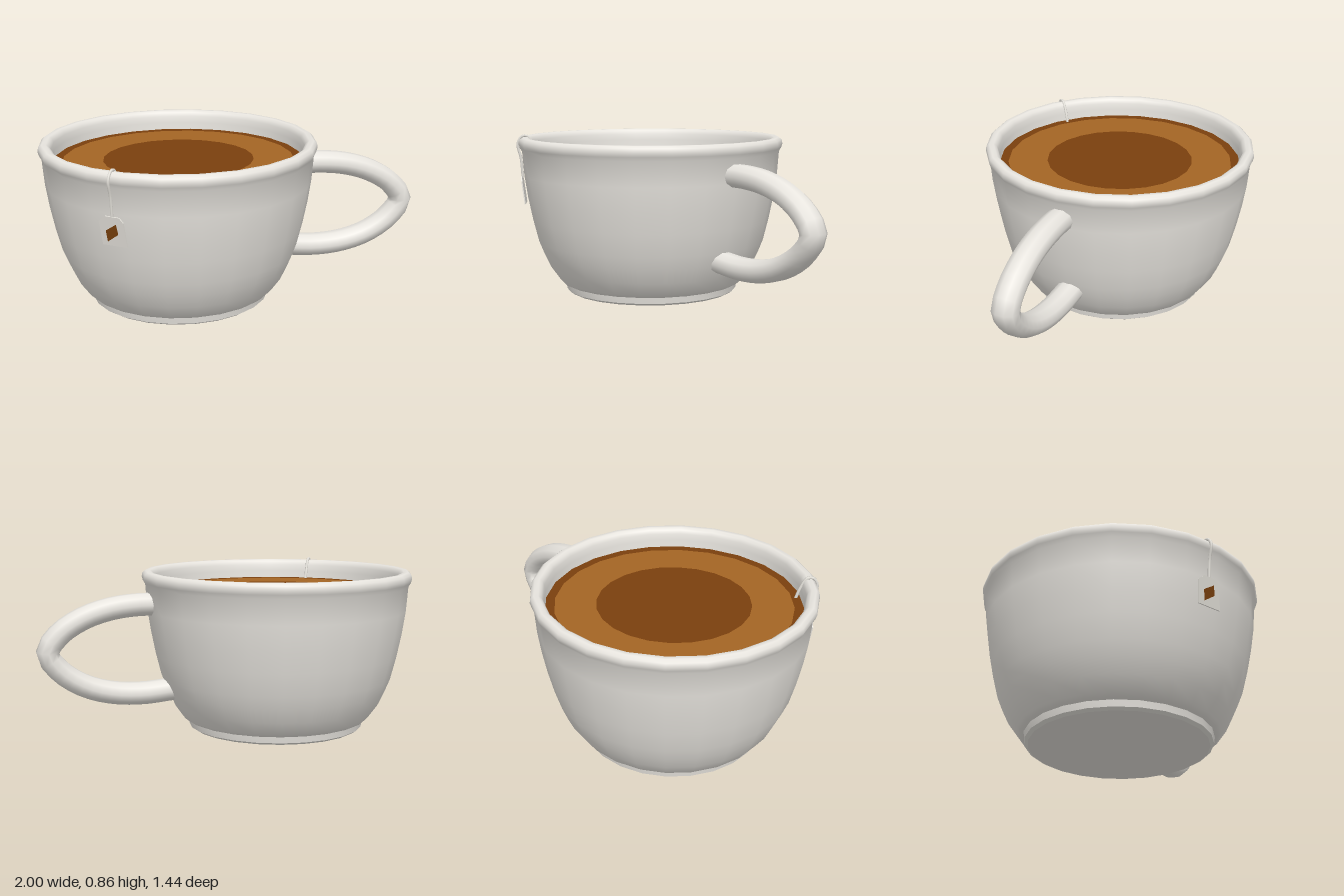
import * as THREE from 'three';
import { toCreasedNormals } from 'three/addons/utils/BufferGeometryUtils.js';

const SIDES = 24;
const CUP_X = -0.285;

function material(name, color, side = THREE.FrontSide) {
  const m = new THREE.MeshStandardMaterial({ color, side });
  m.name = name;
  return m;
}

function addMesh(parent, name, geometry, mat) {
  const mesh = new THREE.Mesh(geometry, mat);
  mesh.name = name;
  parent.add(mesh);
  return mesh;
}

const vectors = (list) => list.map((p) => new THREE.Vector3(...p));
const outline = (list) => new THREE.Shape(list.map((p) => new THREE.Vector2(...p)));

export function createModel() {
  const model = new THREE.Group();
  model.name = 'teacup';
  const porcelain = material('porcelain', 0xe9e6e0);
  const paper = material('paper', 0xe4e1da, THREE.DoubleSide);
  const darkTea = material('dark tea', 0x7a400d);
  const lightTea = material('light tea', 0xa46524);

  const cup = new THREE.Group();
  cup.name = 'cup';
  cup.position.x = CUP_X;
  model.add(cup);

  // Bowl: foot, outer wall, rounded rim, then the inner wall down below the tea
  const profile = [
    [0.45, 0], [0.468, 0.012], [0.473, 0.045], [0.49, 0.052], [0.505, 0.065],
    [0.555, 0.135], [0.59, 0.21], [0.618, 0.28], [0.648, 0.4], [0.672, 0.52],
    [0.69, 0.64], [0.7, 0.77], [0.712, 0.79], [0.718, 0.81], [0.714, 0.832],
    [0.698, 0.845], [0.675, 0.845], [0.66, 0.835], [0.652, 0.815], [0.648, 0.78],
    [0.645, 0.72], [0.62, 0.55], [0.56, 0.3], [0.45, 0.1],
  ].map((p) => new THREE.Vector2(...p));
  addMesh(cup, 'bowl', toCreasedNormals(new THREE.LatheGeometry(profile, SIDES), 0.75), porcelain);

  addMesh(cup, 'base', new THREE.CircleGeometry(0.45, SIDES), porcelain).rotation.x = Math.PI / 2;
  const floor = addMesh(cup, 'innerFloor', new THREE.CircleGeometry(0.45, SIDES), porcelain);
  floor.rotation.x = -Math.PI / 2;
  floor.position.y = 0.1;

  // Tea surface in three concentric bands
  const bands = [
    ['teaCentre', 0, 0.39, darkTea],
    ['teaMiddle', 0.39, 0.6, lightTea],
    ['teaEdge', 0.6, 0.647, darkTea],
  ];
  for (const [name, inner, outer, mat] of bands) {
    const geometry = inner
      ? new THREE.RingGeometry(inner, outer, SIDES)
      : new THREE.CircleGeometry(outer, SIDES);
    const band = addMesh(cup, name, geometry, mat);
    band.rotation.x = -Math.PI / 2;
    band.position.y = 0.742;
  }

  // Handle: a loop, slightly wider than it is thick, ending inside the wall
  const loop = new THREE.CatmullRomCurve3(vectors([
    [0.36, 0.683, 0], [0.48, 0.682, 0], [0.62, 0.664, 0], [0.76, 0.618, 0],
    [0.88, 0.54, 0], [0.937, 0.45, 0], [0.88, 0.358, 0], [0.76, 0.275, 0],
    [0.62, 0.23, 0], [0.46, 0.216, 0], [0.27, 0.231, 0],
  ]));
  const handle = new THREE.TubeGeometry(loop, 28, 0.06, 10, false);
  handle.scale(1, 1, 1.2);
  addMesh(model, 'handle', handle, porcelain);

  // Tea bag string and tag; local z is the distance from the cup's axis
  const teaBag = new THREE.Group();
  teaBag.name = 'teaBag';
  teaBag.rotation.y = THREE.MathUtils.degToRad(-35);
  cup.add(teaBag);

  const stringPath = new THREE.CatmullRomCurve3(vectors([
    [0, 0.73, 0.615], [0, 0.8, 0.64], [0, 0.848, 0.668], [0, 0.85, 0.698],
    [0, 0.81, 0.724], [0, 0.73, 0.708], [0, 0.625, 0.7],
  ]));
  addMesh(teaBag, 'string', new THREE.TubeGeometry(stringPath, 24, 0.008, 6, false), paper);

  const tag = new THREE.Group();
  tag.name = 'tag';
  tag.position.set(0, 0.555, 0.692);
  tag.rotation.x = 0.13;
  teaBag.add(tag);
  const card = outline([
    [-0.06, -0.07], [0.07, -0.07], [0.06, 0.055], [0.04, 0.078], [-0.035, 0.08], [-0.07, 0.05],
  ]);
  addMesh(tag, 'tagCard',
    new THREE.ExtrudeGeometry(card, { depth: 0.006, bevelEnabled: false }), paper);
  const mark = outline([[-0.03, -0.05], [0.03, -0.007], [0.023, 0.045], [-0.035, 0.007]]);
  addMesh(tag, 'tagMark', new THREE.ShapeGeometry(mark), darkTea).position.z = 0.009;

  return model;
}
